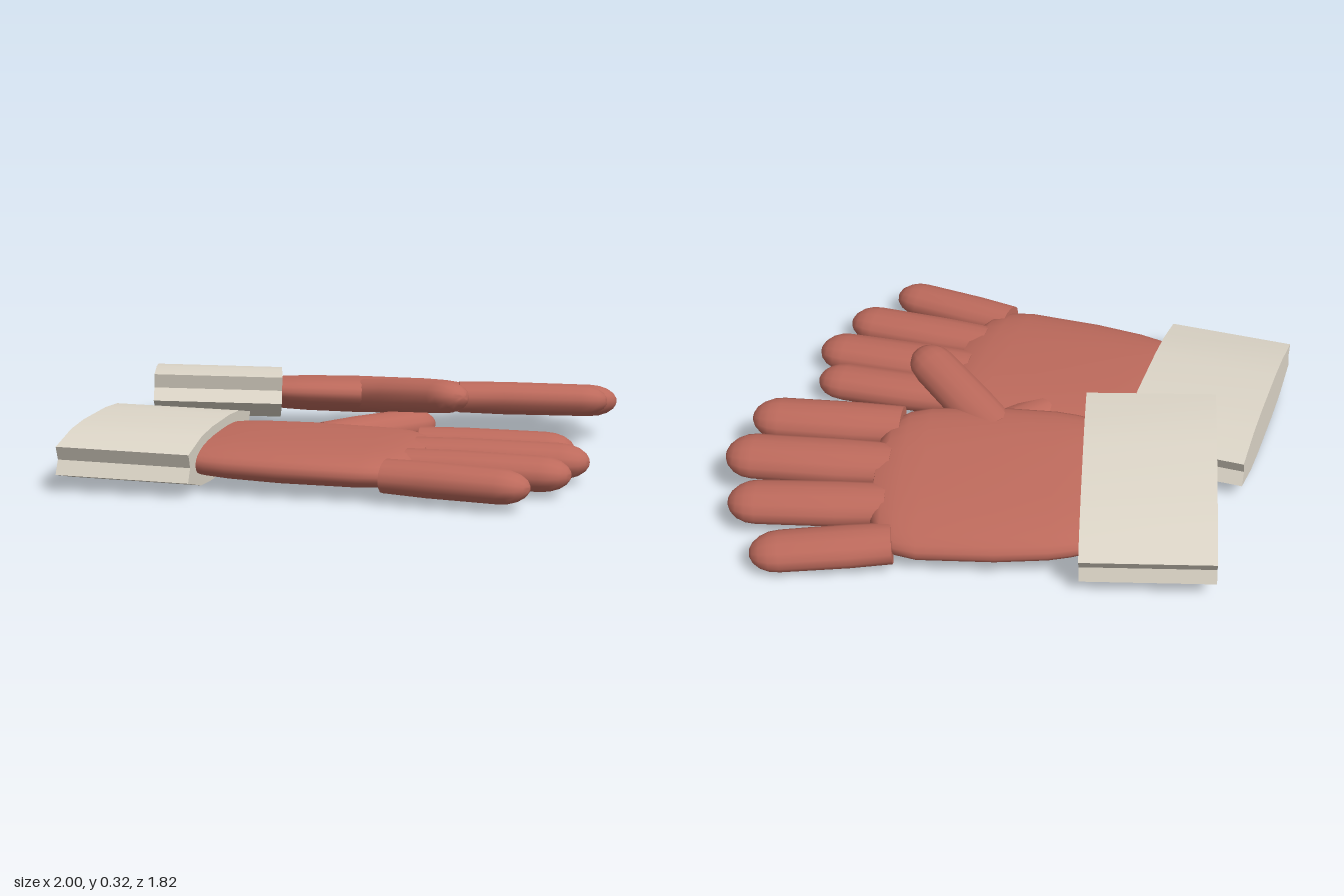
import * as THREE from 'three';
import { toCreasedNormals } from 'three/addons/utils/BufferGeometryUtils.js';

const gloveMat = new THREE.MeshStandardMaterial({ color: 0xbd6a5c });
gloveMat.name = 'brick red fabric';
const cuffMat = new THREE.MeshStandardMaterial({ color: 0xddd6c8 });
cuffMat.name = 'cream cuff';

function addMesh(parent, name, geometry, material) {
  const mesh = new THREE.Mesh(geometry, material);
  mesh.name = name;
  parent.add(mesh);
  return mesh;
}

// Rounded slab lofted along x; stations are [x, half width, half height]
function palmGeometry() {
  const stations = [
    [-0.02, 0, 0], [-0.02, 0.315, 0.062], [0.03, 0.33, 0.066], [0.11, 0.345, 0.07],
    [0.3, 0.358, 0.073], [0.58, 0.355, 0.07], [0.66, 0.335, 0.066],
    [0.72, 0.29, 0.058], [0.76, 0.2, 0.045], [0.77, 0, 0],
  ];
  const sides = 28, pos = [], index = [];
  const pow = (v, p) => Math.sign(v) * Math.abs(v) ** p;
  for (const [x, w, h] of stations) {
    for (let j = 0; j < sides; j++) {
      const a = (j / sides) * Math.PI * 2;
      pos.push(x, h * pow(Math.sin(a), 0.85), w * pow(Math.cos(a), 0.75));
    }
  }
  for (let i = 0; i < stations.length - 1; i++) {
    for (let j = 0; j < sides; j++) {
      const a = i * sides + j, b = i * sides + ((j + 1) % sides);
      index.push(a, a + sides, b, b, a + sides, b + sides);
    }
  }
  const g = new THREE.BufferGeometry();
  g.setAttribute('position', new THREE.Float32BufferAttribute(pos, 3));
  g.setIndex(index);
  return toCreasedNormals(g, 1.0);
}

// Flattened tube with a flat base and a rounded tip, lying along +x
function fingerGeometry(length, width, height) {
  const tip = 0.11;
  const profile = [[0, 0], [0.95, 0], [1, length * 0.3], [0.97, length - tip]];
  for (const a of [0.35, 0.7, 1.05, 1.35]) {
    profile.push([0.97 * Math.cos(a), length - tip + tip * Math.sin(a)]);
  }
  profile.push([0, length]);
  const g = new THREE.LatheGeometry(profile.map(([r, y]) => new THREE.Vector2(r, y)), 14);
  g.scale(height, 1, width);
  g.rotateZ(-Math.PI / 2);
  return toCreasedNormals(g, 0.9);
}

// Extruded band with a notched edge on both sides
function cuffGeometry() {
  const half = [[0.12, 0.098], [0.25, 0.088], [0.405, 0.055], [0.385, 0.005],
    [0.41, -0.045], [0.25, -0.088], [0.12, -0.098]];
  const outline = [...half, ...half.map(([z, y]) => [-z, y]).reverse()];
  const shape = new THREE.Shape(outline.map(([z, y]) => new THREE.Vector2(z, y)));
  const g = new THREE.ExtrudeGeometry(shape, { depth: 0.485, bevelEnabled: false });
  g.rotateY(-Math.PI / 2);
  return toCreasedNormals(g, 0.3);
}

// Base and tip as [along, across], then half width and half height
const digits = [
  ['indexFinger', [0.69, -0.27], [1.265, -0.311], 0.093, 0.064],
  ['middleFinger', [0.71, -0.078], [1.338, -0.119], 0.1, 0.066],
  ['ringFinger', [0.71, 0.113], [1.295, 0.108], 0.095, 0.064],
  ['littleFinger', [0.67, 0.29], [1.18, 0.347], 0.088, 0.062],
  ['thumb', [0.33, -0.25], [0.665, -0.67], 0.09, 0.064],
];

// side = 1 puts the thumb toward -z, side = -1 mirrors it
function buildGlove(name, side) {
  const glove = new THREE.Group();
  glove.name = name;
  addMesh(glove, 'cuff', cuffGeometry(), cuffMat);
  addMesh(glove, 'palm', palmGeometry(), gloveMat);
  for (const [part, [bx, bz], [tx, tz], w, h] of digits) {
    const dx = tx - bx, dz = (tz - bz) * side;
    const finger = addMesh(glove, part, fingerGeometry(Math.hypot(dx, dz), w, h), gloveMat);
    finger.position.set(bx, 0, bz * side);
    finger.rotation.y = -Math.atan2(dz, dx);
  }
  return glove;
}

export function createModel() {
  const model = new THREE.Group();
  model.name = 'pairOfGloves';

  // Lower glove lies flat
  const front = buildGlove('frontGlove', 1);
  front.position.set(-0.47, 0.102, 0.355);
  front.rotation.set(0, -0.122, -0.017);

  // Upper glove leans on the other one
  const back = buildGlove('backGlove', -1);
  back.position.set(-0.34, 0.178, -0.355);
  back.rotation.set(-0.18, 0.14, -0.012);

  model.add(front, back);
  return model;
}
